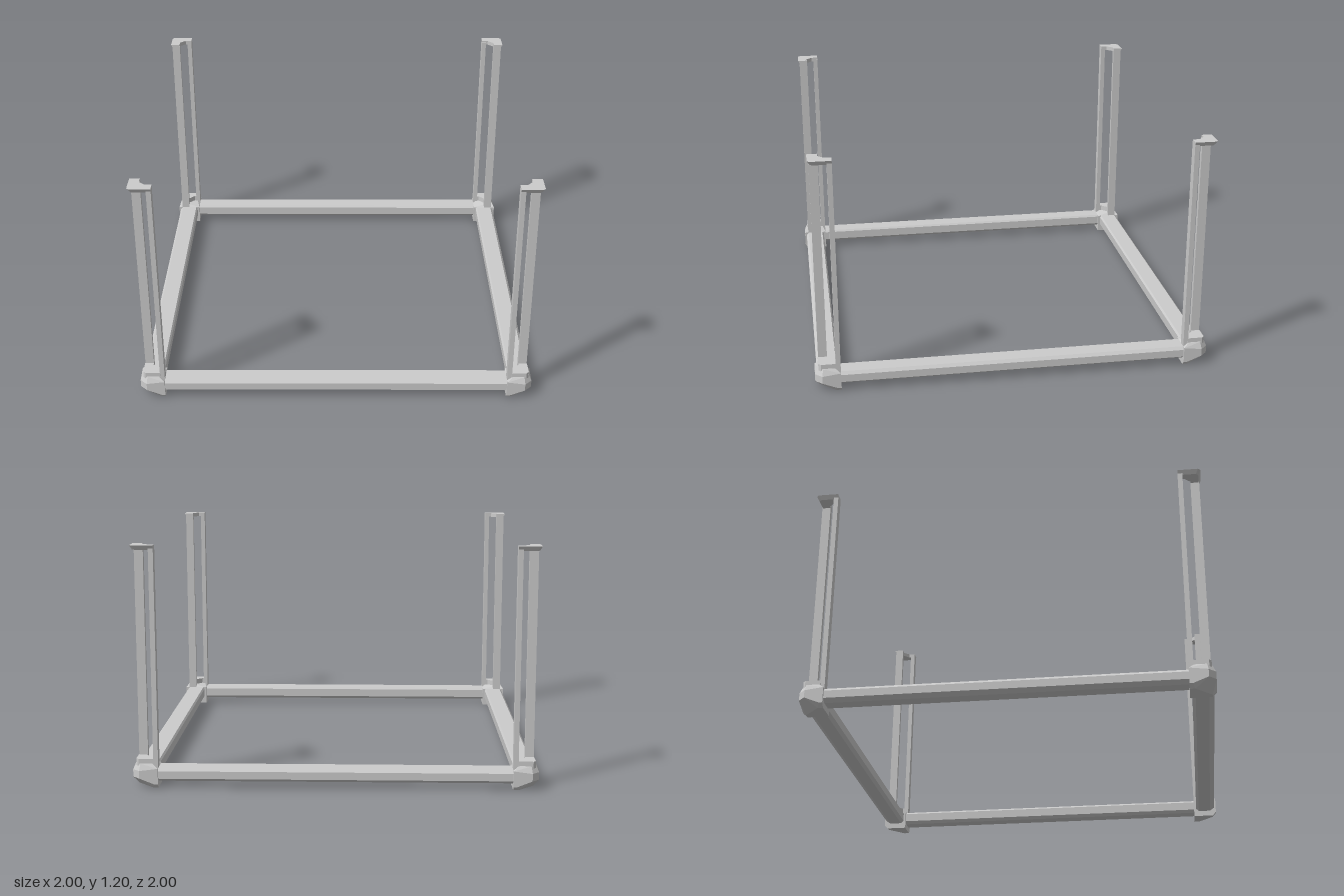
import * as THREE from 'three';
import { ConvexGeometry } from 'three/addons/geometries/ConvexGeometry.js';

const material = new THREE.MeshStandardMaterial({ color: 0xcccccc, flatShading: true });

function add(group, name, geometry) {
  const mesh = new THREE.Mesh(geometry, material);
  mesh.name = name;
  group.add(mesh);
  return mesh;
}

const shapeOf = (pts) => new THREE.Shape(pts.map(([x, y]) => new THREE.Vector2(x, y)));

// L-shaped plate hugging the +x +z corner, with a filleted inner corner
function anglePlate(arm, outer, inner, bottom, top) {
  const f = 0.03, c = 0.012;
  const shape = shapeOf([
    [arm, outer], [arm, inner], [inner - f, inner], [inner, inner - f], [inner, arm],
    [outer, arm], [outer, outer - c], [outer - c, outer],
  ]);
  const g = new THREE.ExtrudeGeometry(shape, { depth: top - bottom, bevelEnabled: false });
  return g.rotateX(Math.PI / 2).translate(0, top, 0);
}

// Rail along x on the +z side, with chamfered edges
function railGeometry() {
  const section = shapeOf([
    [0.885, 0.045], [0.9, 0.03], [0.965, 0.03], [0.99, 0.047],
    [0.99, 0.085], [0.977, 0.1], [0.893, 0.1], [0.885, 0.09],
  ]);
  const g = new THREE.ExtrudeGeometry(section, { depth: 1.78, bevelEnabled: false });
  return g.translate(0, 0, -0.89).rotateY(-Math.PI / 2);
}

// Faceted foot block, symmetric about the corner's diagonal
function footGeometry() {
  const half = [
    [0.98, 0, 0.873], [0.98, 0, 0.9],
    [1, 0.02, 0.873], [1, 0.02, 0.89],
    [1, 0.05, 0.965], [1, 0.088, 0.965],
    [1, 0.1, 0.873], [0.985, 0.122, 0.9], [0.985, 0.122, 0.96],
  ];
  const points = [new THREE.Vector3(0.873, 0, 0.873), new THREE.Vector3(0.873, 0.1, 0.873)];
  for (const [a, y, b] of half) {
    points.push(new THREE.Vector3(a, y, b), new THREE.Vector3(b, y, a));
  }
  return new ConvexGeometry(points);
}

// Top cap: the lower outer edge is drawn inward
function capGeometry() {
  const g = anglePlate(0.873, 0.988, 0.937, 1.178, 1.2);
  const p = g.attributes.position;
  for (let i = 0; i < p.count; i++) {
    if (p.getY(i) > 1.19) continue;
    if (p.getX(i) > 0.96) p.setX(i, p.getX(i) - 0.012);
    if (p.getZ(i) > 0.96) p.setZ(i, p.getZ(i) - 0.012);
  }
  g.computeVertexNormals();
  return g;
}

export function createModel() {
  const model = new THREE.Group();
  model.name = 'cornerPostFrame';

  const rail = railGeometry();
  const foot = footGeometry();
  const collar = anglePlate(0.895, 0.982, 0.937, 0.09, 0.145);
  const cap = capGeometry();
  const postHeight = 1.1;
  const postX = new THREE.BoxGeometry(0.044, postHeight, 0.024).translate(0.958, 0.09 + postHeight / 2, 0.885);
  const postZ = new THREE.BoxGeometry(0.024, postHeight, 0.044).translate(0.885, 0.09 + postHeight / 2, 0.958);

  // One side rail and one corner, repeated by quarter turns
  for (let i = 0; i < 4; i++) {
    const quarter = new THREE.Group();
    quarter.name = 'frameQuarter';
    add(quarter, 'baseRail', rail);
    add(quarter, 'cornerFoot', foot);
    add(quarter, 'footCollar', collar);
    add(quarter, 'cornerPost', postX);
    add(quarter, 'cornerPost', postZ);
    add(quarter, 'postCap', cap);
    quarter.rotation.y = (i * Math.PI) / 2;
    model.add(quarter);
  }
  return model;
}
